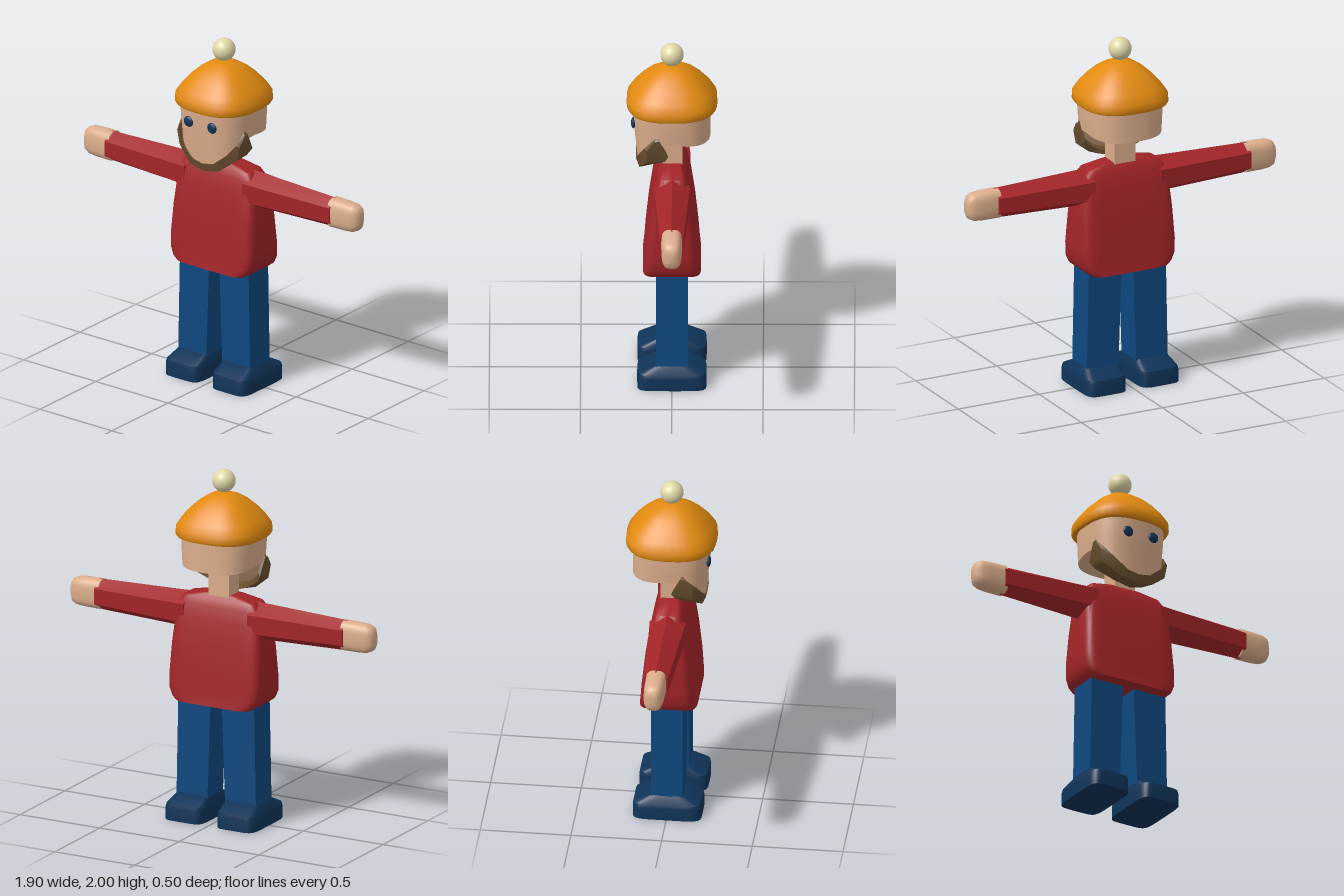
import * as THREE from 'three';
import { toCreasedNormals } from 'three/addons/utils/BufferGeometryUtils.js';

const mat = (name, color) => new THREE.MeshStandardMaterial({ name, color });

// Rounded-rectangle outline (superellipse) with half sizes a, b
function outline(a, b, e = 2.7, n = 40) {
  const p = (v) => Math.sign(v) * Math.abs(v) ** (2 / e);
  return Array.from({ length: n }, (_, i) => {
    const t = (i / n) * Math.PI * 2;
    return [a * p(Math.cos(t)), b * p(Math.sin(t))];
  });
}

// Closed skin over rings of [x, y, z] points; caps may have their own centres
function loft(rings, crease = 0.6, caps = []) {
  const n = rings[0].length, pos = rings.flat(2), idx = [];
  for (let r = 0; r < rings.length - 1; r++) {
    for (let i = 0; i < n; i++) {
      const a = r * n + i, b = r * n + (i + 1) % n;
      idx.push(a, b, a + n, b, b + n, a + n);
    }
  }
  [0, rings.length - 1].forEach((r, k) => {
    const c = caps[k] ?? [0, 1, 2].map((d) => rings[r].reduce((s, p) => s + p[d], 0) / n);
    const ci = pos.length / 3;
    pos.push(...c);
    for (let i = 0; i < n; i++) {
      const a = r * n + i, b = r * n + (i + 1) % n;
      if (k) idx.push(a, b, ci); else idx.push(b, a, ci);
    }
  });
  // Turn the faces outward
  const v = (i) => new THREE.Vector3().fromArray(pos, i * 3);
  let volume = 0;
  for (let i = 0; i < idx.length; i += 3) volume += v(idx[i]).dot(v(idx[i + 1]).cross(v(idx[i + 2])));
  if (volume < 0) idx.reverse();
  const g = new THREE.BufferGeometry();
  g.setAttribute('position', new THREE.Float32BufferAttribute(pos, 3));
  g.setIndex(idx);
  return toCreasedNormals(g, crease);
}

// Stack of outlines along y: rows of [y, halfX, halfZ, centreX]
const stackY = (rows, e, crease) => loft(rows.map(([y, a, b, cx = 0]) =>
  outline(a, b, e).map(([x, z]) => [x + cx, y, z])), crease);

export function createModel() {
  const model = new THREE.Group();
  const red = mat('sweater red', 0xa32428), jeans = mat('trouser blue', 0x0f4880);
  const navy = mat('dark navy', 0x0f3358), skin = mat('skin', 0xdcae8c);
  const brown = mat('beard brown', 0x6b5030), orange = mat('hat orange', 0xe28a10);
  const cream = mat('pompom cream', 0xe0d8a8);
  const add = (name, geometry, material) => {
    const m = new THREE.Mesh(geometry, material);
    m.name = name;
    model.add(m);
    return m;
  };

  // Sweater body
  add('torso', stackY([
    [0.68, 0.235, 0.16], [0.7, 0.262, 0.157], [0.74, 0.282, 0.152], [0.82, 0.287, 0.146],
    [1.0, 0.278, 0.127], [1.15, 0.265, 0.105], [1.23, 0.25, 0.085], [1.27, 0.22, 0.07], [1.295, 0.11, 0.05],
  ], 7, 0.7), red);

  // Neck
  add('neck', new THREE.BoxGeometry(0.13, 0.18, 0.11), skin).position.set(0, 1.35, -0.002);

  // Head, with a U-shaped jaw in front and a higher skull base behind
  const headRings = [0, 0.25, 0.5, 0.75, 1].map((t) => outline(0.22, 0.218).map(([x, z]) => {
    const low = z > 0 ? 1.3 + 0.18 * (x / 0.22) ** 2 : 1.48 - 0.02 * Math.abs(z) / 0.218;
    const y = 1.66 + (low - 1.66) * t;
    const taper = z > 0 ? 1 - 0.15 * Math.max(0, 1.6 - y) / 0.3 : 0.97;
    return [x * (1 - 0.04 * t * t), y, z * taper];
  }));
  add('head', loft(headRings, 0.6, [undefined, [0, 1.39, 0]]), skin);

  // Beard: front-inner, front-outer and back corners of each half station
  const half = [
    [[0, 1.32, 0.197], [0, 1.275, 0.187], [0, 1.28, 0.1]],
    [[0.07, 1.332, 0.197], [0.1, 1.292, 0.178], [0.09, 1.31, 0.08]],
    [[0.15, 1.395, 0.183], [0.2, 1.37, 0.14], [0.19, 1.37, 0.04]],
    [[0.2, 1.46, 0.15], [0.216, 1.45, 0.14], [0.213, 1.41, 0.02]],
    [[0.214, 1.505, 0.1], [0.22, 1.505, 0.1], [0.22, 1.51, 0.07]],
  ].map(([f, o, b]) => [f, o, b, [b[0] * 0.93, b[1] + 0.02, b[2] + 0.01]]);
  const mirrored = half.slice(1).reverse().map((ring) => ring.map(([x, y, z]) => [-x, y, z]));
  add('beard', loft([...mirrored, ...half], 0.5), brown);

  // Hat and pompom
  add('hat', stackY([
    [1.635, 0.243, 0.243], [1.645, 0.249, 0.249], [1.685, 0.247, 0.247], [1.73, 0.218, 0.218],
    [1.78, 0.175, 0.175], [1.82, 0.132, 0.132], [1.85, 0.087, 0.087], [1.866, 0.045, 0.045], [1.872, 0.012, 0.012],
  ], 2.6, 0.7), orange);
  add('pompom', new THREE.SphereGeometry(0.064, 28, 18), cream).position.y = 1.936;

  for (const [side, s] of [['left', 1], ['right', -1]]) {
    // Eye
    const eye = add(side + 'Eye', new THREE.SphereGeometry(0.031, 20, 12), navy);
    eye.position.set(s * 0.081, 1.556, 0.212);
    eye.scale.z = 0.4;

    // Six-sided sleeve
    const sleeve = [[0.2, 0.108, 0.116], [0.28, 0.104, 0.109], [0.78, 0.087, 0.075]].map(([x, ry, rz]) =>
      Array.from({ length: 6 }, (_, i) => {
        const a = (i * Math.PI) / 3;
        return [s * x, 1.167 + ry * Math.cos(a), rz * Math.sin(a)];
      }));
    add(side + 'Sleeve', loft(sleeve, 0.3), red);

    // Mitten hand
    const hand = [[0.76, 0.084, 0.058], [0.86, 0.083, 0.056], [0.91, 0.079, 0.052], [0.937, 0.067, 0.043], [0.951, 0.042, 0.025]]
      .map(([x, a, b]) => outline(a, b, 3, 28).map(([y, z]) => [s * x, 1.168 + y, z]));
    add(side + 'Hand', loft(hand, 0.8), skin);

    // Trouser leg
    const leg = [[0.1, 0.056, 0.25], [0.7, 0.035, 0.238]].map(([y, x0, x1]) =>
      [[x0, 0.087], [x1, 0.087], [x1, -0.087], [x0, -0.087]].map(([x, z]) => [s * x, y, z]));
    add(side + 'Leg', loft(leg, 0.3), jeans);

    // Shoe
    add(side + 'Shoe', stackY([
      [0, 0.122, 0.19, s * 0.163], [0.07, 0.122, 0.19, s * 0.163],
      [0.09, 0.118, 0.186, s * 0.162], [0.136, 0.098, 0.094, s * 0.155],
    ], 6, 0.5), navy);
  }
  return model;
}
